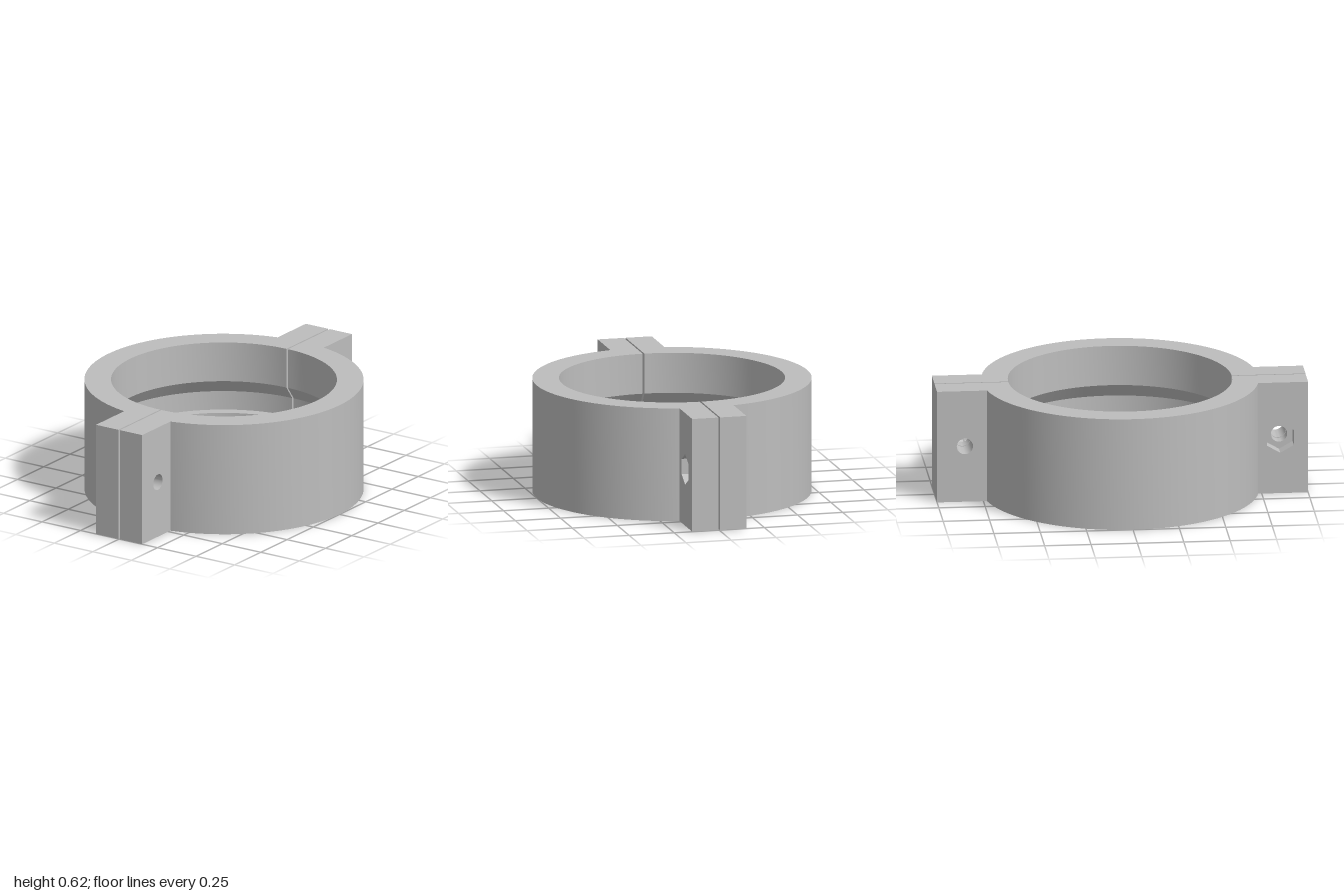
import * as THREE from 'three';
import { toCreasedNormals } from 'three/addons/utils/BufferGeometryUtils.js';

const HEIGHT = 0.62, GAP = 0.005, TAB_X = 0.15, NUT_DEPTH = 0.075;
const BOLT_Y = HEIGHT / 2, BOLT_Z = 0.85;

// Ring cross-section as [radius, y], with the inner groove: flat ledge below, chamfer above
const PROFILE = [
  [0.745, 0], [0.745, HEIGHT], [0.602, HEIGHT], [0.602, 0.4],
  [0.657, 0.325], [0.657, 0.22], [0.602, 0.22], [0.602, 0],
];

function addMesh(group, name, geometry, material) {
  const mesh = new THREE.Mesh(geometry, material);
  mesh.name = name;
  group.add(mesh);
  return mesh;
}

// Slab of a clamp tab between two x positions, pierced by a hole with the given sides
function tabSlab(side, x0, x1, radius, sides) {
  const [a, b] = [-side * 0.73, -side];
  const shape = new THREE.Shape([
    new THREE.Vector2(a, 0), new THREE.Vector2(b, 0),
    new THREE.Vector2(b, HEIGHT), new THREE.Vector2(a, HEIGHT),
  ]);
  const hole = [];
  for (let i = 0; i < sides; i++) {
    const t = Math.PI / 2 + (i / sides) * Math.PI * 2;
    hole.push(new THREE.Vector2(-side * BOLT_Z + radius * Math.cos(t), BOLT_Y + radius * Math.sin(t)));
  }
  shape.holes.push(new THREE.Path(hole));
  const geometry = new THREE.ExtrudeGeometry(shape, { depth: x1 - x0, bevelEnabled: false });
  geometry.rotateY(Math.PI / 2).translate(x0, 0, 0);
  return toCreasedNormals(geometry, 0.5);
}

function clampHalf(material) {
  const half = new THREE.Group();

  // Half ring
  const points = [...PROFILE, PROFILE[0]].map(([r, y]) => new THREE.Vector2(r, y));
  const ring = new THREE.LatheGeometry(points, 64, 0, Math.PI).translate(GAP, 0, 0);
  addMesh(half, 'halfRing', toCreasedNormals(ring, 0.5), material);

  // Flat faces where the two halves meet
  for (const side of [1, -1]) {
    const section = new THREE.Shape(PROFILE.map(([r, y]) => new THREE.Vector2(side * r, y)));
    const face = new THREE.ShapeGeometry(section).rotateY(-Math.PI / 2).translate(GAP, 0, 0);
    addMesh(half, 'jointFace', face, material);
  }

  // Front tab with a bolt hole, back tab with a bolt hole and a hexagonal nut pocket
  addMesh(half, 'boltTab', tabSlab(1, GAP, TAB_X, 0.044, 32), material);
  addMesh(half, 'nutTabInner', tabSlab(-1, GAP, TAB_X - NUT_DEPTH, 0.044, 32), material);
  addMesh(half, 'nutTabPocket', tabSlab(-1, TAB_X - NUT_DEPTH, TAB_X, 0.084, 6), material);
  return half;
}

export function createModel() {
  const grey = new THREE.MeshStandardMaterial({ color: 0xbdbdbd });
  grey.name = 'grey';

  const model = new THREE.Group();
  model.name = 'pipeClamp';

  // Two identical halves, turned half a revolution from each other
  ['leftHalf', 'rightHalf'].forEach((name, i) => {
    const half = clampHalf(grey);
    half.name = name;
    half.rotation.y = i * Math.PI;
    model.add(half);
  });
  return model;
}
